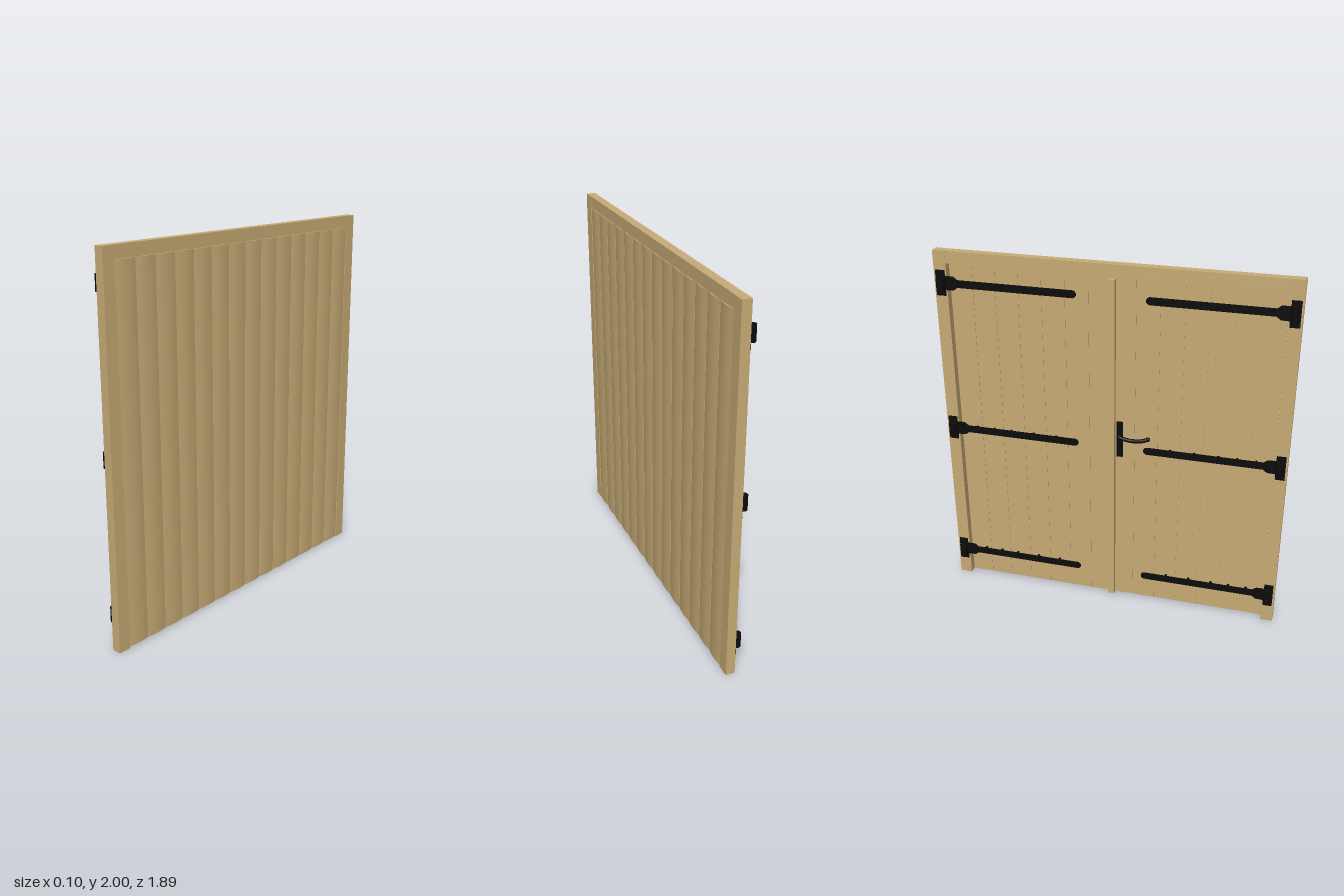
import * as THREE from 'three';
import { toCreasedNormals } from 'three/addons/utils/BufferGeometryUtils.js';

export function createModel() {
  const wood = new THREE.MeshStandardMaterial({ name: 'wood', color: 0xc8ac76 });
  const iron = new THREE.MeshStandardMaterial({ name: 'blackIron', color: 0x0c0c0c });
  const gate = new THREE.Group();
  gate.name = 'doubleGate';

  const add = (parent, name, geometry, material) => {
    const mesh = new THREE.Mesh(geometry, material);
    mesh.name = name;
    parent.add(mesh);
    return mesh;
  };
  // Box given by its limits on each axis
  const box = (parent, name, material, x0, x1, y0, y1, z0, z1) =>
    add(parent, name, new THREE.BoxGeometry(x1 - x0, y1 - y0, Math.abs(z1 - z0)), material)
      .position.set((x0 + x1) / 2, (y0 + y1) / 2, (z0 + z1) / 2);

  // Frame: two posts and the top rail
  for (const s of [-1, 1]) box(gate, 'post', wood, -0.005, 0.045, 0, 2, s * 0.877, s * 0.945);
  box(gate, 'topRail', wood, -0.004, 0.043, 1.935, 2, -0.877, 0.877);

  // Vertical planks with a gently bowed outer face
  const pitch = 1.75 / 14, half = pitch / 2 - 0.0015;
  const section = new THREE.Shape();
  section.moveTo(-half, 0.03);
  section.lineTo(half, 0.03);
  section.lineTo(half, 0.042);
  section.quadraticCurveTo(0, 0.054, -half, 0.042);
  section.closePath();
  const plank = toCreasedNormals(
    new THREE.ExtrudeGeometry(section, { depth: 1.928, bevelEnabled: false, curveSegments: 8 })
      .applyMatrix4(new THREE.Matrix4().makeBasis(
        new THREE.Vector3(0, 0, 1), new THREE.Vector3(1, 0, 0), new THREE.Vector3(0, 1, 0))),
    0.6);
  for (let i = 0; i < 14; i++)
    add(gate, 'plank', plank, wood).position.set(0, 0.006, (i - 6.5) * pitch);
  // Thin backing tongue that closes the joints between planks
  for (const s of [-1, 1]) box(gate, 'plankTongue', wood, 0.033, 0.039, 0.008, 1.934, s * 0.002, s * 0.874);

  // Cover strip over the meeting edge of the two doors
  box(gate, 'coverStrip', wood, 0.002, 0.031, 0.006, 1.92, -0.018, 0.018);

  // Strap hinges, three on each door
  const strapMatrix = new THREE.Matrix4().makeBasis(
    new THREE.Vector3(0, 0, 1), new THREE.Vector3(0, 1, 0), new THREE.Vector3(-1, 0, 0));
  const bolt = (parent, y, z, x1) => {
    const m = add(parent, 'bolt', new THREE.CylinderGeometry(0.008, 0.008, x1 + 0.018, 10), iron);
    m.rotation.z = Math.PI / 2;
    m.position.set((x1 - 0.018) / 2, y, z);
  };
  for (const s of [-1, 1]) for (const y of [1.83, 0.99, 0.175]) {
    const hinge = new THREE.Group();
    hinge.name = 'strapHinge';
    hinge.position.y = y;
    gate.add(hinge);

    const outline = new THREE.Shape();
    outline.moveTo(s * 0.89, -0.038);
    outline.lineTo(s * 0.84, -0.036);
    outline.lineTo(s * 0.82, -0.02);
    for (let i = 0; i <= 8; i++) {
      const a = -Math.PI / 2 + Math.PI * i / 8;
      outline.lineTo(s * (0.2 - 0.02 * Math.cos(a)), 0.02 * Math.sin(a));
    }
    outline.lineTo(s * 0.82, 0.02);
    outline.lineTo(s * 0.84, 0.036);
    outline.lineTo(s * 0.89, 0.038);
    outline.closePath();
    const strap = new THREE.ExtrudeGeometry(outline, { depth: 0.006, bevelEnabled: false });
    add(hinge, 'strap', strap.applyMatrix4(strapMatrix), iron).position.x = -0.003;

    box(hinge, 'postPlate', iron, -0.012, -0.004, -0.068, 0.068, s * 0.885, s * 0.935);
    box(hinge, 'knuckleBracket', iron, -0.03, -0.01, -0.034, 0.034, s * 0.885, s * 0.925);
    add(hinge, 'knuckle', new THREE.CylinderGeometry(0.02, 0.02, 0.08, 16), iron)
      .position.set(-0.031, 0, s * 0.905);
    for (const z of [0.32, 0.45, 0.58, 0.68, 0.78]) bolt(hinge, 0, s * z, 0.031);
    for (const dy of [-0.052, 0.052]) bolt(hinge, dy, s * 0.91, 0);
  }

  // Latch: back plate, spindle and curved lever
  const latch = new THREE.Group();
  latch.name = 'latch';
  gate.add(latch);
  box(latch, 'latchPlate', iron, 0.022, 0.031, 0.92, 1.13, 0.025, 0.06);
  const path = new THREE.CatmullRomCurve3([
    [0.025, 1.06, 0.042], [-0.01, 1.06, 0.045], [-0.018, 1.055, 0.065],
    [-0.018, 1.047, 0.12], [-0.018, 1.055, 0.18], [-0.01, 1.063, 0.205]
  ].map(p => new THREE.Vector3(...p)));
  add(latch, 'lever', new THREE.TubeGeometry(path, 32, 0.011, 10), iron);
  add(latch, 'leverTip', new THREE.SphereGeometry(0.013, 12, 8), iron).position.set(-0.01, 1.063, 0.205);

  return gate;
}
